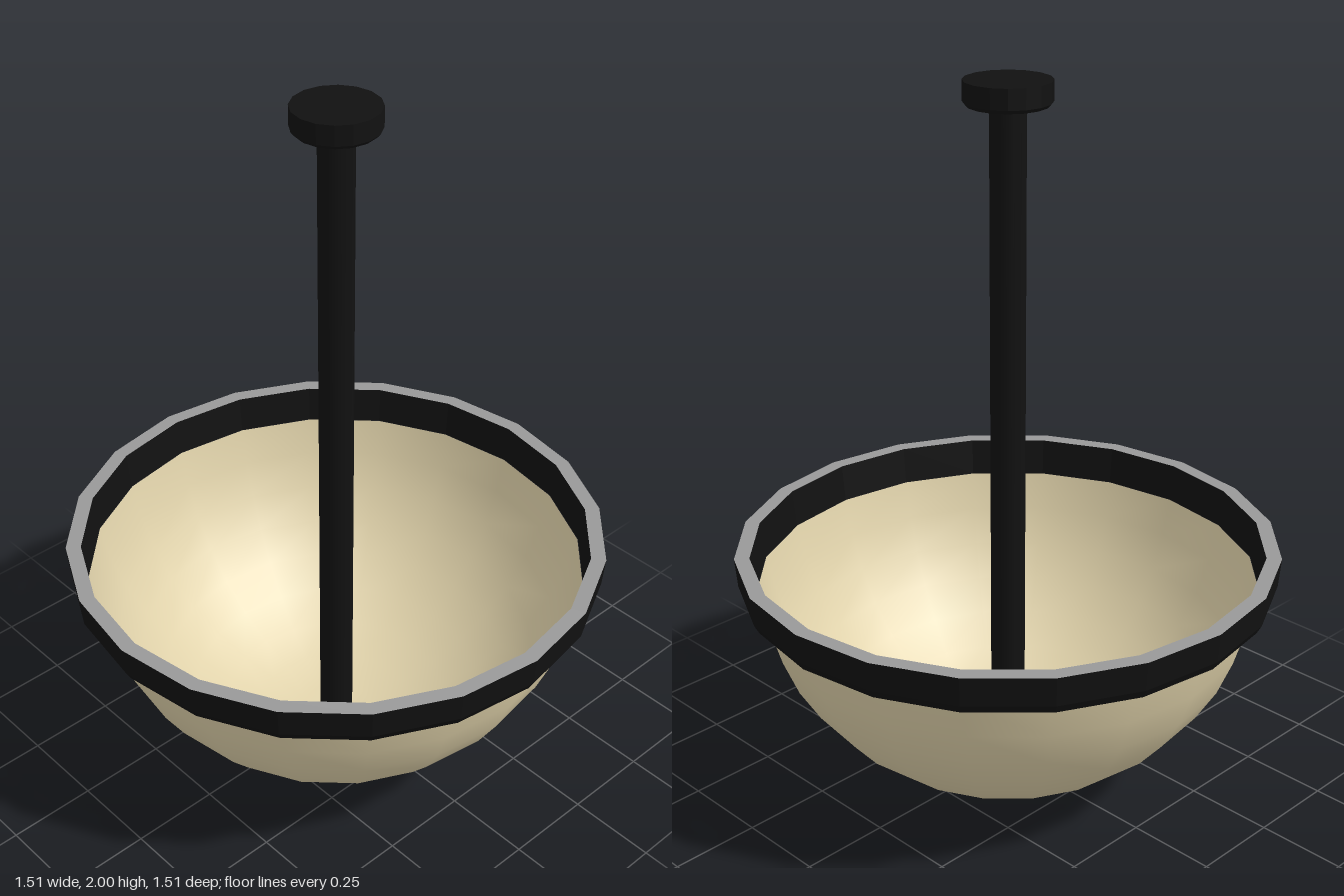
import * as THREE from 'three';

const black = new THREE.MeshStandardMaterial({ color: 0x111111, flatShading: true, side: THREE.DoubleSide });
const blackSmooth = new THREE.MeshStandardMaterial({ color: 0x111111 });
const cream = new THREE.MeshStandardMaterial({ color: 0xe0d2aa, side: THREE.DoubleSide });
const grey = new THREE.MeshStandardMaterial({ color: 0x999999, side: THREE.DoubleSide });

const SIDES = 20;
const RIM_TOP = 0.713;
const RIM_BOTTOM = 0.605;
const BOWL_RADIUS = 0.71;

// Revolves [radius, height] pairs listed from bottom to top
function lathe(name, points, sides, material) {
  const profile = points.map(([r, y]) => new THREE.Vector2(r, y));
  const mesh = new THREE.Mesh(new THREE.LatheGeometry(profile, sides), material);
  mesh.name = name;
  return mesh;
}

export function createModel() {
  const model = new THREE.Group();
  model.name = 'pendantLamp';

  // Glass bowl: a spherical cap ending under the rim
  const bowl = [];
  const bands = 9;
  const sweep = Math.acos((RIM_TOP - RIM_BOTTOM) / BOWL_RADIUS);
  for (let i = 0; i <= bands; i++) {
    const a = (sweep * i) / bands;
    bowl.push([BOWL_RADIUS * Math.sin(a), BOWL_RADIUS * (1 - Math.cos(a)) + 0.003]);
  }
  model.add(lathe('bowl', bowl, SIDES, cream));

  // Dark rim band: inner wall, underside and outer wall with a tucked lower edge
  model.add(lathe('rimBand', [
    [0.715, RIM_TOP], [0.703, RIM_BOTTOM], [0.737, RIM_BOTTOM],
    [0.75, 0.63], [0.757, RIM_TOP],
  ], SIDES, black));

  // Pale top face of the rim
  model.add(lathe('rimTop', [[0.757, RIM_TOP], [0.715, RIM_TOP]], SIDES, grey));

  // Stem from the bowl floor to the ceiling plate
  const stem = new THREE.Mesh(new THREE.CylinderGeometry(0.048, 0.048, 1.94, 16), blackSmooth);
  stem.name = 'stem';
  stem.position.y = 0.98;
  model.add(stem);

  // Ceiling plate with a small lower bevel
  model.add(lathe('ceilingPlate', [
    [0, 1.935], [0.108, 1.935], [0.117, 1.945], [0.117, 2], [0, 2],
  ], 16, black));

  return model;
}
